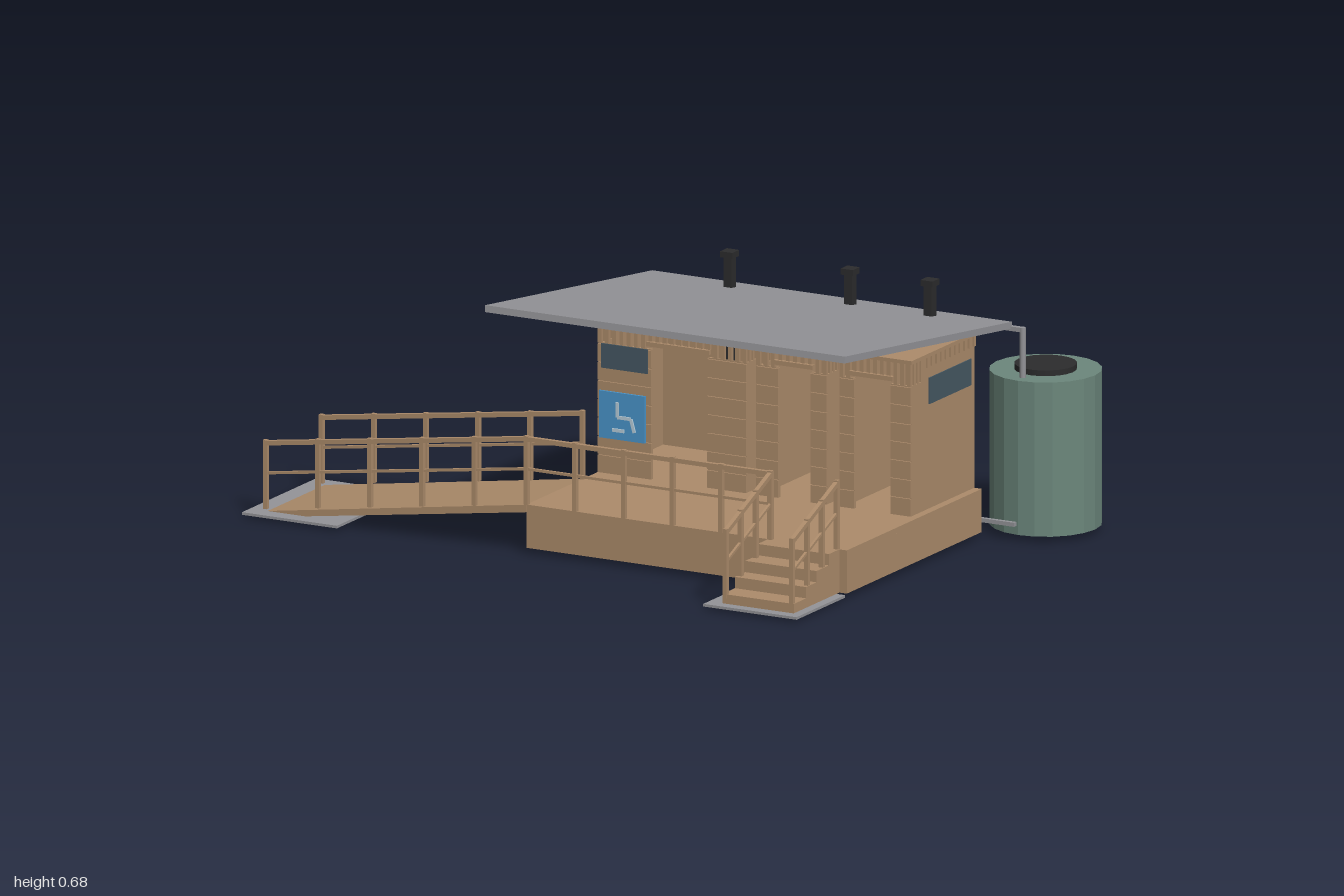
import * as THREE from 'three';

const mat = (name, color) => {
  const m = new THREE.MeshStandardMaterial({ color });
  m.name = name;
  return m;
};

export function createModel() {
  const timber = mat('timber', 0xad8c6b);
  const grey = mat('grey metal and concrete', 0x949498);
  const black = mat('black plastic', 0x2c2c2d);
  const green = mat('tank green', 0x6c877c);
  const glass = mat('window slate', 0x46586300 >>> 8);
  const blue = mat('sign blue', 0x4a96cc);
  const pale = mat('sign pale', 0xb9cfdc);
  green.flatShading = true;

  const model = new THREE.Group();
  model.name = 'ecoToiletBlock';
  const group = (name) => {
    const g = new THREE.Group();
    g.name = name;
    model.add(g);
    return g;
  };
  const add = (parent, name, geo, m) => {
    const mesh = new THREE.Mesh(geo, m);
    mesh.name = name;
    parent.add(mesh);
    return mesh;
  };
  // Box given by its limits on each axis
  const box = (parent, name, m, x0, x1, y0, y1, z0, z1) => {
    const b = add(parent, name, new THREE.BoxGeometry(x1 - x0, y1 - y0, z1 - z0), m);
    b.position.set((x0 + x1) / 2, (y0 + y1) / 2, (z0 + z1) / 2);
    return b;
  };
  // Square bar between two points
  const bar = (parent, name, m, a, b, w) => {
    const p = new THREE.Vector3(...a), q = new THREE.Vector3(...b);
    const s = add(parent, name, new THREE.BoxGeometry(w, w, p.distanceTo(q)), m);
    s.position.copy(p).lerp(q, 0.5);
    s.lookAt(q);
    return s;
  };
  const cyl = (parent, name, m, r, y0, y1, x, z, n = 12) => {
    const c = add(parent, name, new THREE.CylinderGeometry(r, r, y1 - y0, n), m);
    c.position.set(x, (y0 + y1) / 2, z);
    return c;
  };

  // Concrete pads
  const pads = group('groundPads');
  box(pads, 'rampPad', grey, -1, -0.72, 0.008, 0.015, 0.03, 0.42);
  box(pads, 'stairPad', grey, 0.485, 0.76, 0.008, 0.015, 0.39, 0.645);
  box(pads, 'backPad', grey, -0.1, 0.635, 0.008, 0.015, -0.515, -0.335);

  // Raised deck: floor, skirt and stumps below
  const deck = group('deck');
  const X0 = -0.187, X1 = 0.757, ZB = -0.335, ZF = 0.375, FLOOR = 0.13;
  box(deck, 'deckFloor', timber, X0, X1, 0.115, FLOOR, ZB, ZF);
  box(deck, 'frontSkirt', timber, X0, X1, 0.015, 0.115, ZF - 0.012, ZF);
  box(deck, 'backSkirt', timber, X0, X1, 0.015, 0.115, ZB, ZB + 0.012);
  box(deck, 'rightSkirt', timber, X0, X0 + 0.012, 0.015, 0.115, ZB + 0.012, ZF - 0.012);
  box(deck, 'leftSkirt', timber, X1 - 0.012, X1, 0.015, 0.115, ZB + 0.012, ZF - 0.012);
  for (const x of [-0.1, 0.285, 0.67])
    for (const z of [-0.25, 0.02, 0.29]) cyl(deck, 'stump', grey, 0.014, 0.015, 0.115, x, z, 10);

  // Ramp
  const rampShape = new THREE.Shape([
    [-0.955, 0.014], [-0.94, 0], [-0.187, 0.11], [-0.187, 0.13],
  ].map((p) => new THREE.Vector2(...p)));
  add(model, 'ramp', new THREE.ExtrudeGeometry(rampShape, { depth: 0.3, bevelEnabled: false }), timber)
    .position.z = 0.077;

  // Stairs
  const stairs = group('stairs');
  [[0.43, 0.13], [0.495, 0.1], [0.55, 0.07], [0.615, 0.04]].forEach(([z, y], i) =>
    box(stairs, 'step', timber, 0.525, 0.735, 0.015, y, [0.375, 0.43, 0.495, 0.55][i], z));

  // Railings: posts along a line with a top rail and a thinner mid rail
  const railing = (name, a, b, spans, top = 0.175) => {
    const g = group(name);
    const up = (p, h) => [p[0], p[1] + h, p[2]];
    for (let i = 0; i <= spans; i++) {
      const p = a.map((v, k) => v + (b[k] - v) * (i / spans));
      bar(g, 'post', timber, p, up(p, top + 0.008), 0.012);
    }
    bar(g, 'topRail', timber, up(a, top), up(b, top), 0.012);
    bar(g, 'midRail', timber, up(a, top - 0.08), up(b, top - 0.08), 0.007);
  };
  for (const z of [0.08, 0.374]) railing('rampRailing', [-0.955, 0.02, z], [-0.187, 0.13, z], 5);
  railing('deckRailing', [-0.187, 0.13, 0.374], [0.53, 0.13, 0.374], 5);
  for (const x of [0.532, 0.727]) railing('stairRailing', [x, 0.03, 0.61], [x, 0.13, 0.374], 3);

  // Cubicles: walls, cladding, eave brackets and open doorway
  const T = 0.012, TOP = 0.535, DOOR = 0.475;
  const clad = (g, x0, x1, name) => {
    box(g, name, timber, x0, x1, FLOOR, DOOR, -T, -0.005);
    const n = 7, h = (DOOR - FLOOR) / n;
    for (let i = 0; i < n; i++)
      box(g, 'board', timber, x0, x1, FLOOR + i * h, FLOOR + (i + 1) * h - 0.003, -0.005, 0);
  };
  const cubicle = (x0, x1, d0, d1, pipeX) => {
    const g = group('cubicle');
    box(g, 'backWall', timber, x0, x1, FLOOR, TOP, ZB, ZB + T);
    for (const x of [x0, x1 - T]) {
      box(g, 'sideWall', timber, x, x + T, FLOOR, TOP, ZB + T, -0.065);
      box(g, 'sideReturn', timber, x, x + T, FLOOR, DOOR, -0.065, -T);
    }
    clad(g, x0, d0, 'frontWall');
    clad(g, d1, x1, 'frontWall');
    box(g, 'topPlate', timber, x0 - 0.005, x1 + 0.005, TOP, 0.545, ZB - 0.006, 0.004);
    box(g, 'doorTrack', timber, d0 - 0.01, d1 + 0.01, 0.485, 0.497, -0.004, 0.007);
    // Vent slats above the front wall and round the corner
    const n = Math.round((x1 - x0) / 0.022);
    for (let i = 0; i <= n; i++) {
      const x = x0 + (x1 - x0 - 0.011) * (i / n);
      const low = x > d0 - 0.01 && x < d1 ? 0.497 : DOOR;
      box(g, 'ventSlat', timber, x, x + 0.011, low, TOP, -0.009, 0);
      box(g, 'backBracket', timber, x, x + 0.01, 0.508, TOP, ZB - 0.006, ZB);
    }
    for (const x of [x0, x1 - T])
      for (let i = 0; i < 3; i++)
        box(g, 'cornerSlat', timber, x, x + T, DOOR, TOP, -0.028 - i * 0.018, -0.019 - i * 0.018);
    for (const x of [x0 - 0.005, x1])
      for (let i = 0; i < 11; i++) {
        const z = -0.08 - i * 0.0245;
        box(g, 'sideBracket', timber, x, x + 0.005, 0.508, TOP, z - 0.01, z);
      }
    // Vent stack, pedestal and outside drain
    box(g, 'ventStack', black, pipeX - 0.012, pipeX + 0.012, FLOOR, 0.66, -0.319, -0.295);
    box(g, 'ventCap', black, pipeX - 0.018, pipeX + 0.018, 0.66, 0.676, -0.325, -0.289);
    box(g, 'pedestal', grey, pipeX + 0.015, pipeX + 0.05, FLOOR, 0.215, -0.27, -0.2);
    cyl(g, 'drainPipe', grey, 0.005, 0.04, 0.425, pipeX, -0.345, 8);
    box(g, 'drainElbow', black, pipeX - 0.011, pipeX + 0.011, 0.418, 0.438, -0.354, ZB);
    return g;
  };
  const main = cubicle(-0.187, 0.25, -0.03, 0.135, 0.03);
  cubicle(0.28, 0.487, 0.345, 0.44, 0.385);
  const end = cubicle(0.525, 0.735, 0.568, 0.675, 0.62);

  // Windows and sign
  box(main, 'frontWindow', glass, -0.175, -0.038, 0.41, 0.475, 0, 0.003);
  box(end, 'sideWindow', glass, 0.735, 0.738, 0.408, 0.478, -0.315, -0.095);
  const sign = group('sign');
  box(sign, 'signBoard', blue, -0.18, -0.045, 0.225, 0.35, 0, 0.006);
  const mark = (a, b) => bar(sign, 'signMark', pale, [...a, 0.005], [...b, 0.005], 0.009);
  mark([-0.125, 0.325], [-0.125, 0.285]);
  mark([-0.125, 0.285], [-0.085, 0.285]);
  mark([-0.085, 0.285], [-0.075, 0.25]);
  mark([-0.14, 0.25], [-0.105, 0.25]);

  // Sloping roof, gutter and downpipe
  const roof = group('roof');
  const slab = box(roof, 'roofSheet', grey, -0.245, 0.815, 0.606, 0.624, -0.393, 0.493);
  slab.rotation.x = -Math.atan2(0.11, 0.88);
  box(roof, 'gutter', grey, -0.24, 0.85, 0.546, 0.558, -0.397, -0.383);
  cyl(roof, 'downpipe', grey, 0.008, 0.41, 0.558, 0.847, -0.39, 10);

  // Drain line along the back to the tank
  const line = bar(group('drainLine'), 'drainLine', grey, [-0.03, 0.045, -0.345], [0.85, 0.045, -0.345], 0.011);
  line.material = grey;

  // Water tank
  const tank = group('waterTank');
  cyl(tank, 'tankBody', green, 0.146, 0.015, 0.425, 0.853, -0.5, 20);
  cyl(tank, 'tankLid', black, 0.081, 0.425, 0.44, 0.853, -0.5, 20);

  return model;
}
